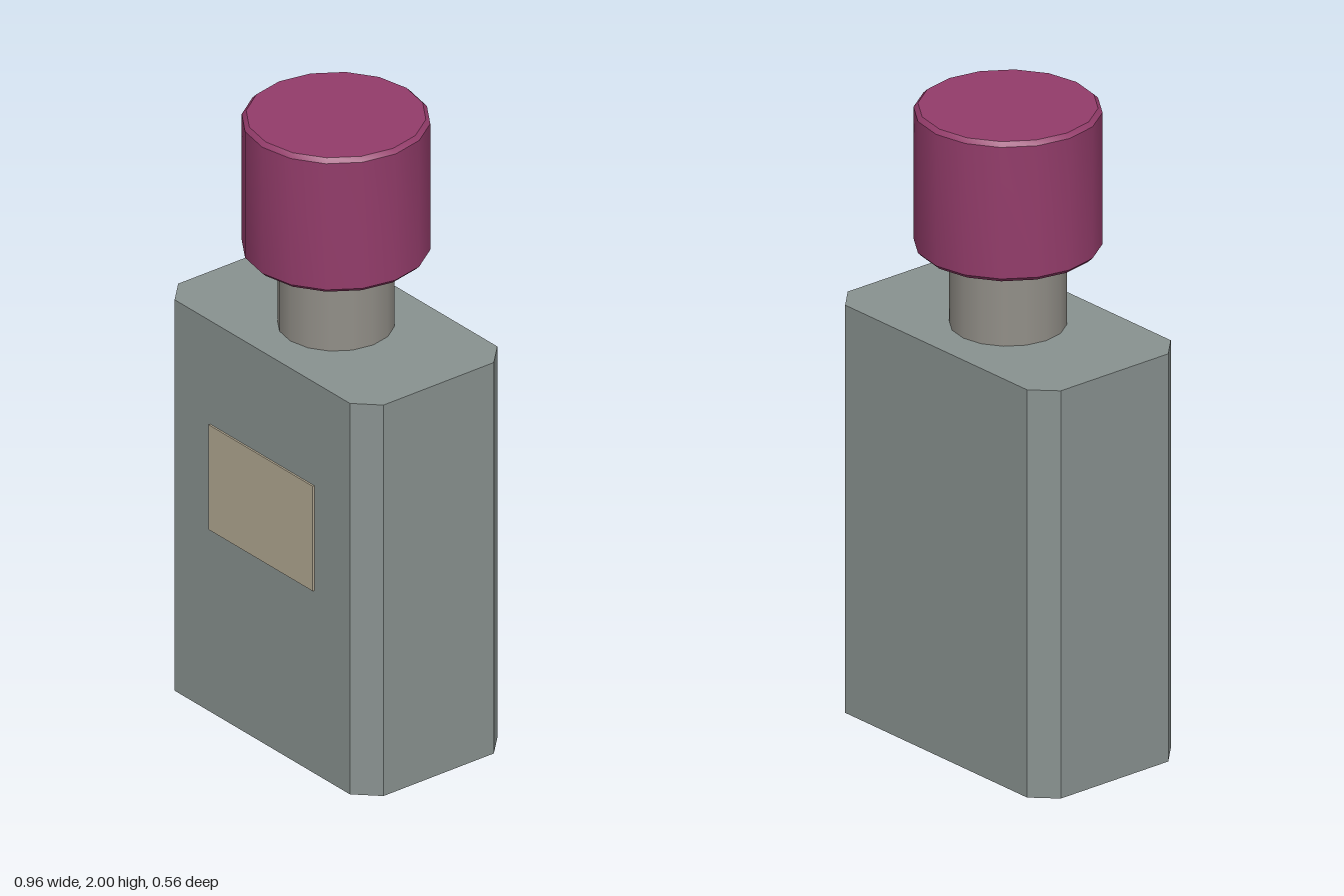
import * as THREE from 'three';
import { toCreasedNormals } from 'three/addons/utils/BufferGeometryUtils.js';

const SIDES = 16;
const CENTRE_Z = -0.003;

function addPart(group, name, geometry, color) {
  const mesh = new THREE.Mesh(geometry, new THREE.MeshStandardMaterial({ color }));
  mesh.name = name;
  group.add(mesh);
  return mesh;
}

// Rectangle with its four corners cut at 45 degrees
function cutRectangle(halfX, halfY, cut) {
  const x = halfX - cut, y = halfY - cut;
  return new THREE.Shape([
    [halfX, -y], [halfX, y], [x, halfY], [-x, halfY],
    [-halfX, y], [-halfX, -y], [-x, -halfY], [x, -halfY],
  ].map(([px, py]) => new THREE.Vector2(px, py)));
}

export function createModel() {
  const group = new THREE.Group();
  group.name = 'perfumeBottle';

  // Bottle body: cut-corner outline extruded upwards
  const bodyHeight = 1.305;
  const body = new THREE.ExtrudeGeometry(cutRectangle(0.479, 0.278, 0.07), {
    depth: bodyHeight, bevelEnabled: false,
  });
  body.rotateX(-Math.PI / 2);
  addPart(group, 'body', body, 0x899290).position.z = CENTRE_Z;

  // Neck, running a little way into the body and the cap
  const neck = new THREE.CylinderGeometry(0.173, 0.173, 0.27, SIDES);
  addPart(group, 'neck', neck, 0x928f88).position.set(0, 1.43, CENTRE_Z);

  // Cap with narrow bevels at both rims
  const radius = 0.278, bottom = 1.553, top = 2, bevel = 0.013;
  const profile = [
    [0, bottom], [radius - bevel, bottom], [radius, bottom + bevel],
    [radius, top - bevel], [radius - bevel, top], [0, top],
  ].map(([r, y]) => new THREE.Vector2(r, y));
  const cap = toCreasedNormals(new THREE.LatheGeometry(profile, SIDES), Math.PI / 6);
  addPart(group, 'cap', cap, 0x933c6a).position.z = CENTRE_Z;

  // Blank label plate on the front face
  const label = new THREE.BoxGeometry(0.486, 0.35, 0.012);
  addPart(group, 'label', label, 0xb3a993).position.set(0, 0.785, 0.275);

  return group;
}
